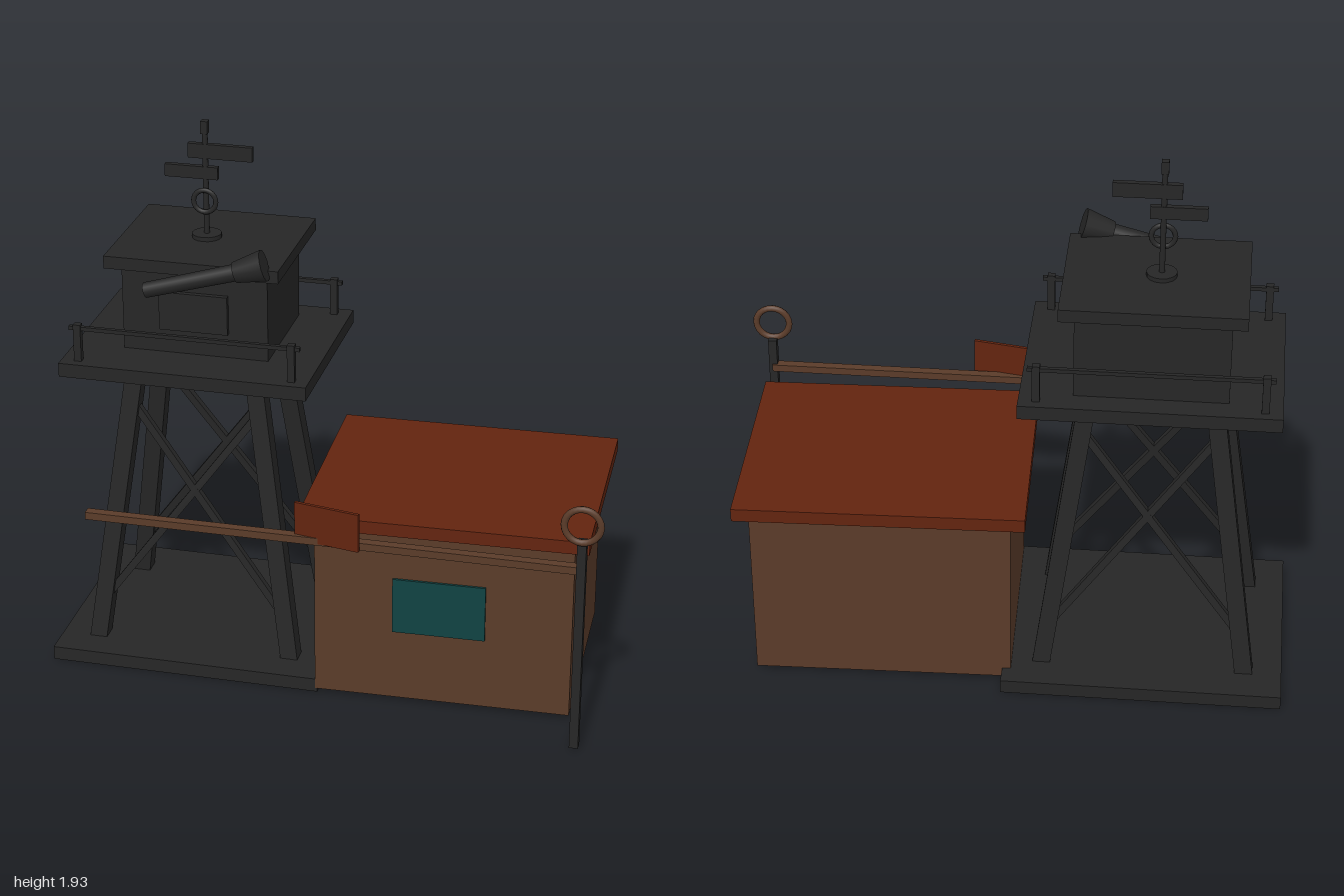
import * as THREE from 'three';

const mat = (name, color) => {
  const m = new THREE.MeshStandardMaterial({ color });
  m.name = name;
  return m;
};

export function createModel() {
  const dark = mat('charcoal', 0x262626);
  const brown = mat('brown wood', 0x5a3b29);
  const rust = mat('rust red', 0x63240f);
  const teal = mat('teal glass', 0x104242);

  const model = new THREE.Group();
  model.name = 'watchtowerAndHut';

  const add = (parent, name, geometry, material, x, y, z) => {
    const mesh = new THREE.Mesh(geometry, material);
    mesh.name = name;
    mesh.position.set(x, y, z);
    parent.add(mesh);
    return mesh;
  };
  const group = (name) => {
    const g = new THREE.Group();
    g.name = name;
    model.add(g);
    return g;
  };
  // Box given by its centre in x and z and its bottom and top
  const block = (parent, name, material, x, z, y0, y1, w, d) =>
    add(parent, name, new THREE.BoxGeometry(w, y1 - y0, d), material, x, (y0 + y1) / 2, z);
  // Turns a y-aligned mesh so that it spans from a to b
  const span = (mesh, a, b) => {
    mesh.position.copy(a).lerp(b, 0.5);
    mesh.quaternion.setFromUnitVectors(new THREE.Vector3(0, 1, 0), b.clone().sub(a).normalize());
    return mesh;
  };
  const beam = (parent, name, material, a, b, t) =>
    span(add(parent, name, new THREE.BoxGeometry(t, a.distanceTo(b), t), material, 0, 0, 0), a, b);
  const tube = (parent, name, a, b, ra, rb, sides) => {
    const geo = new THREE.CylinderGeometry(rb, ra, a.distanceTo(b), sides);
    return span(add(parent, name, geo, dark, 0, 0, 0), a, b);
  };
  const V = (x, y, z) => new THREE.Vector3(x, y, z);

  // Tower: base slab, splayed legs, crossed braces
  const tower = group('tower');
  const cx = -0.51, cz = -0.1;
  block(tower, 'baseSlab', dark, -0.51, -0.105, 0, 0.05, 0.98, 0.82);
  const legPoint = (sx, sz, y) => {
    const t = (y - 0.04) / 1.07;
    return V(cx + sx * (0.358 - 0.146 * t), y, cz + sz * (0.262 - 0.097 * t));
  };
  for (const sz of [1, -1]) {
    for (const sx of [1, -1]) {
      beam(tower, 'towerLeg', dark, legPoint(sx, sz, 0.04), legPoint(sx, sz, 1.11), 0.062);
      beam(tower, 'crossBrace', dark, legPoint(sx, sz, 0.19), legPoint(-sx, sz, 0.96), 0.026);
    }
  }

  // Platform with front and back rails
  block(tower, 'platform', dark, cx, cz, 1.1, 1.15, 0.88, 0.7);
  for (const z of [0.205, -0.405]) {
    for (const x of [-0.89, -0.13]) block(tower, 'railPost', dark, x, z, 1.15, 1.285, 0.026, 0.024);
    block(tower, 'rail', dark, cx, z, 1.263, 1.277, 0.82, 0.015);
  }

  // Cabin
  const cabin = group('cabin');
  block(cabin, 'cabinWalls', dark, cx, -0.15, 1.15, 1.465, 0.52, 0.43);
  block(cabin, 'cabinRoof', dark, cx, -0.153, 1.46, 1.505, 0.62, 0.525);
  block(cabin, 'cabinShutter', dark, -0.512, 0.073, 1.24, 1.38, 0.245, 0.02);

  // Roof mast with boards and a ring
  const mast = group('mast');
  const mx = -0.525, mz = -0.153;
  add(mast, 'mastFoot', new THREE.CylinderGeometry(0.052, 0.052, 0.02, 16), dark, mx, 1.51, mz);
  add(mast, 'mastPole', new THREE.CylinderGeometry(0.01, 0.01, 0.4, 10), dark, mx, 1.705, mz);
  block(mast, 'mastCap', dark, mx, mz, 1.885, 1.93, 0.025, 0.025);
  block(mast, 'upperBoard', dark, -0.47, mz, 1.795, 1.847, 0.23, 0.02);
  block(mast, 'lowerBoard', dark, -0.575, mz, 1.72, 1.765, 0.19, 0.02);
  add(mast, 'mastRing', new THREE.TorusGeometry(0.04, 0.009, 8, 24), dark, mx, 1.643, -0.134);

  // Searchlight: slim tube with a flared head
  const light = group('searchlight');
  tube(light, 'lightTube', V(-0.658, 1.413, 0.155), V(-0.32, 1.507, 0.138), 0.027, 0.03, 10);
  tube(light, 'lightHead', V(-0.342, 1.501, 0.139), V(-0.242, 1.532, 0.129), 0.037, 0.056, 12);

  // Hut, turned slightly
  const hut = group('hut');
  hut.position.set(0.412, 0, -0.08);
  hut.rotation.y = 0.03;
  block(hut, 'hutWalls', brown, 0, 0, 0.015, 0.67, 0.902, 0.748);
  block(hut, 'hutRoof', rust, 0, -0.005, 0.667, 0.715, 1.005, 0.83);
  block(hut, 'hutWindow', teal, -0.012, 0.378, 0.28, 0.487, 0.325, 0.009);

  // Barrier: bar, sign board and ringed post
  const barrier = group('barrier');
  block(barrier, 'barrierBar', brown, 0.065, 0.463, 0.679, 0.706, 1.72, 0.034);
  const sign = block(barrier, 'signBoard', rust, 0.06, 0.48, 0.685, 0.825, 0.235, 0.012);
  sign.rotation.y = -0.19;
  block(barrier, 'barrierPost', dark, 0.923, 0.47, 0.015, 0.805, 0.031, 0.032);
  add(barrier, 'postRing', new THREE.TorusGeometry(0.061, 0.012, 8, 24), brown, 0.923, 0.865, 0.486);

  return model;
}
